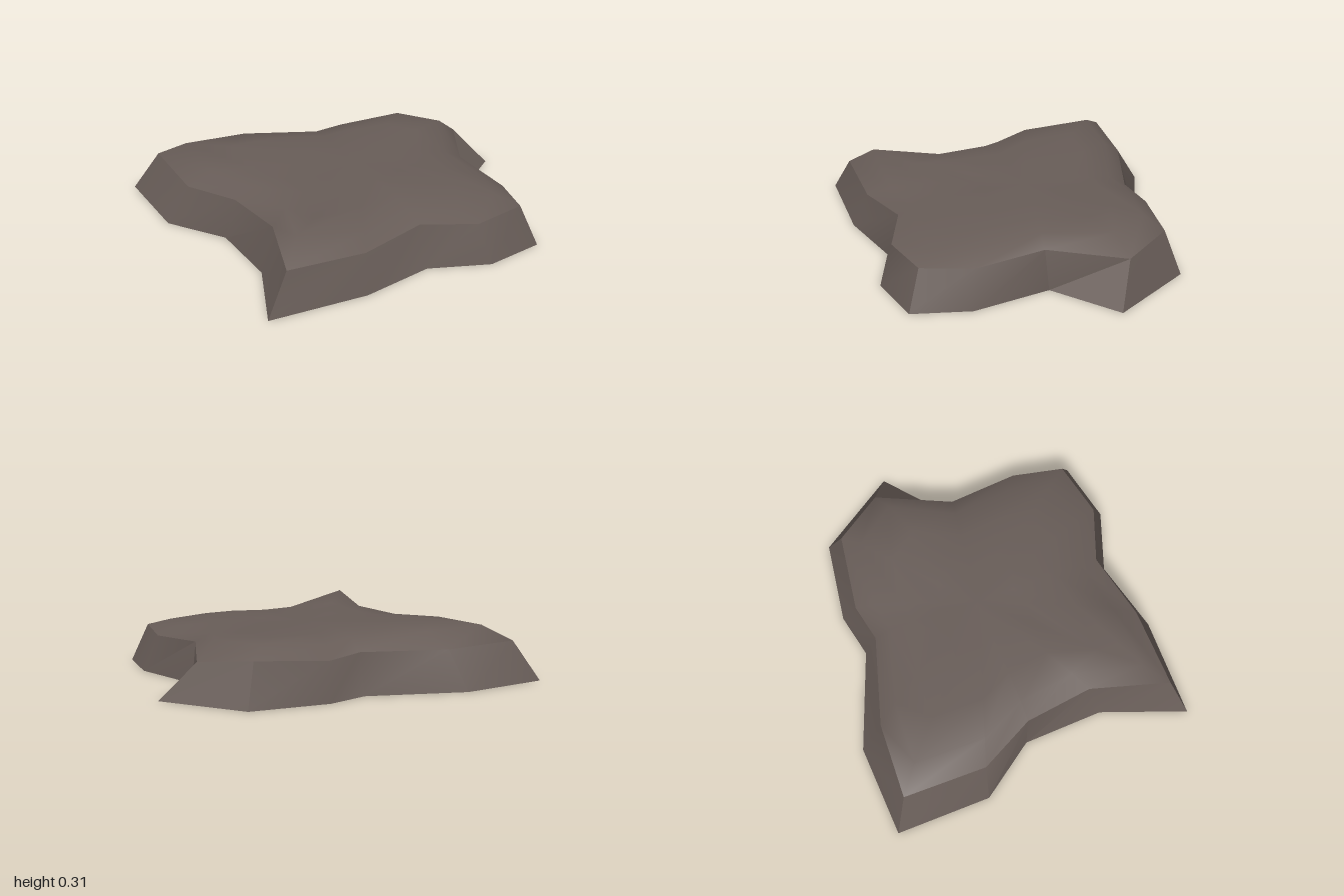
import * as THREE from 'three';
import { toCreasedNormals } from 'three/addons/utils/BufferGeometryUtils.js';

// ground outline, clockwise seen from above: [x, z]
const FOOT = [
  [-0.85, -0.93], [-0.36, -0.89], [0.12, -0.63], [0.36, -0.65],
  [0.78, -0.53], [1.0, -0.07], [0.64, 0.16], [0.67, 0.59],
  [0.56, 0.89], [0.23, 0.92], [-0.07, 0.77], [-0.47, 0.82],
  [-1.0, 0.75], [-0.78, 0.33], [-0.74, -0.1], [-0.91, -0.42],
];
// rim of the slab: [x, y, z]
const RIM = [
  [-0.74, 0.215, -0.83], [-0.34, 0.205, -0.76], [0.1, 0.215, -0.565], [0.31, 0.2, -0.58],
  [0.7, 0.23, -0.47], [0.845, 0.2, -0.19], [0.61, 0.22, 0.17], [0.6, 0.195, 0.55],
  [0.5, 0.21, 0.81], [0.2, 0.205, 0.84], [-0.07, 0.22, 0.7], [-0.43, 0.19, 0.745],
  [-0.86, 0.205, 0.7], [-0.69, 0.22, 0.3], [-0.69, 0.22, -0.07], [-0.8, 0.205, -0.38],
];
// heights of the weathered plateau, from the rim inwards
const SHOULDER = [0.295, 0.29, 0.27, 0.265, 0.29, 0.295, 0.265, 0.25, 0.25, 0.25, 0.255, 0.235, 0.31, 0.275, 0.27, 0.28];
const PLATEAU = [0.305, 0.305, 0.295, 0.29, 0.295, 0.3, 0.285, 0.28, 0.28, 0.285, 0.285, 0.275, 0.275, 0.295, 0.285, 0.295];

// joins closed rings from outside to inside, optionally capped by a centre point
function skin(rings, centre) {
  const n = rings[0].length;
  const points = rings.flat();
  const index = [];
  for (let r = 0; r < rings.length - 1; r++) {
    for (let i = 0; i < n; i++) {
      const j = (i + 1) % n, a = r * n, b = a + n;
      index.push(b + i, a + j, a + i, b + i, b + j, a + j);
    }
  }
  if (centre) {
    const last = (rings.length - 1) * n;
    for (let i = 0; i < n; i++) index.push(points.length, last + (i + 1) % n, last + i);
    points.push(centre);
  }
  const geometry = new THREE.BufferGeometry();
  geometry.setAttribute('position', new THREE.Float32BufferAttribute(points.flat(), 3));
  geometry.setIndex(index);
  geometry.computeVertexNormals();
  return geometry;
}

export function createModel() {
  const group = new THREE.Group();
  group.name = 'rockSlab';
  const stone = new THREE.MeshStandardMaterial({ color: 0x675c57 });
  stone.name = 'brown grey stone';

  const add = (name, geometry) => {
    const mesh = new THREE.Mesh(geometry, stone);
    mesh.name = name;
    group.add(mesh);
  };

  const foot = FOOT.map(([x, z]) => [x, 0, z]);
  const inset = (scale, heights) => RIM.map(([x, , z], i) => [x * scale, heights[i], z * scale]);

  // sloping sides, creased at the sharper corners
  add('sides', toCreasedNormals(skin([foot, RIM]), 0.6));

  // smooth, gently uneven top
  add('top', skin([
    RIM,
    inset(0.85, SHOULDER),
    inset(0.62, PLATEAU),
    inset(0.3, PLATEAU.map((y) => (y + 0.29) / 2)),
  ], [0, 0.29, 0]));

  // flat underside, facing down
  const under = new THREE.ShapeGeometry(new THREE.Shape(FOOT.map(([x, z]) => new THREE.Vector2(x, z))));
  under.rotateX(Math.PI / 2);
  add('underside', under);

  return group;
}
